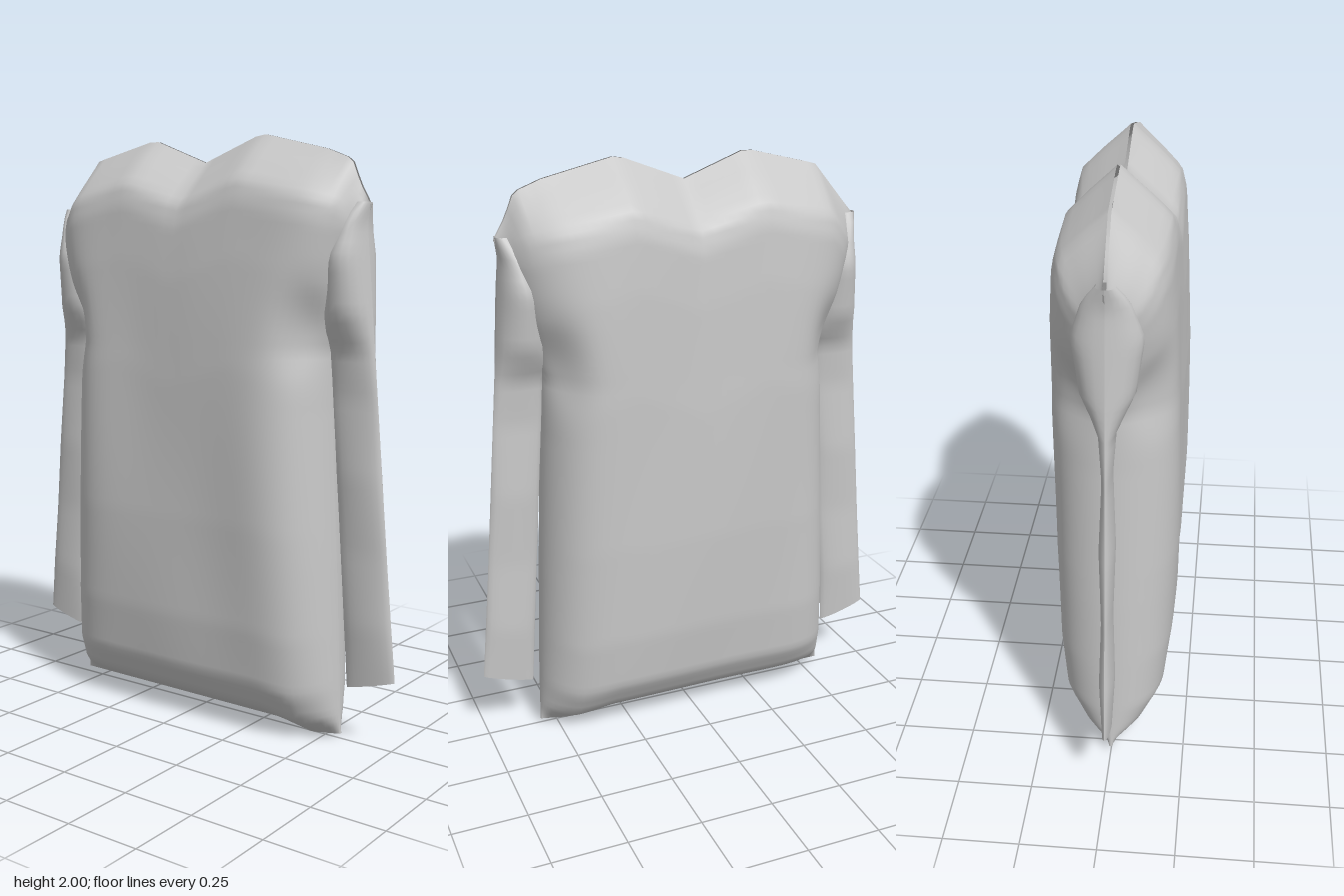
import * as THREE from 'three';

// piecewise-linear lookup in [position, value] pairs
function lookup(table, t) {
  if (t <= table[0][0]) return table[0][1];
  for (let i = 1; i < table.length; i++) {
    const [a, va] = table[i - 1], [b, vb] = table[i];
    if (t <= b) return va + (vb - va) * (t - a) / (b - a);
  }
  return table[table.length - 1][1];
}

// cloth sheet from point(u, v), u in -1..1, v in 0..1; side +1 front, -1 back
function sheet(point, side, cols, rows) {
  const pos = [], index = [];
  for (let j = 0; j <= rows; j++) {
    for (let i = 0; i <= cols; i++) {
      const u = Math.sin((i / cols - 0.5) * Math.PI); // finer towards the seams
      pos.push(...point(u, j / rows, side));
    }
  }
  for (let j = 0; j < rows; j++) {
    for (let i = 0; i < cols; i++) {
      const a = j * (cols + 1) + i, b = a + 1, c = a + cols + 1, d = c + 1;
      if (side > 0) index.push(a, b, d, a, d, c);
      else index.push(a, d, b, a, c, d);
    }
  }
  const g = new THREE.BufferGeometry();
  g.setAttribute('position', new THREE.Float32BufferAttribute(pos, 3));
  g.setIndex(index);
  g.computeVertexNormals();
  return g;
}

// body outline: half width by height, top edge and hem by x
const bodyWidth = [[0, 0.56], [0.6, 0.535], [1.1, 0.51], [1.3, 0.505], [1.4, 0.535], [1.5, 0.565], [1.6, 0.585], [1.75, 0.61], [2, 0.64]];
const topEdge = [[-0.64, 1.755], [-0.6, 1.8], [-0.48, 1.94], [-0.22, 2], [0, 1.915], [0.23, 2], [0.48, 1.94], [0.57, 1.905], [0.6, 1.83], [0.64, 1.76]];
const hem = [[-0.56, 0.025], [0.32, 0.022], [0.45, 0], [0.56, 0.018]];
// puffiness by distance from the hem and from the top edge
const fromHem = [[0, 0.004], [0.06, 0.12], [0.16, 0.185], [0.35, 0.208], [0.7, 0.22]];
const fromTop = [[0, 0.004], [0.08, 0.1], [0.15, 0.175], [0.22, 0.195], [0.4, 0.208], [0.75, 0.22]];

function bodyPoint(u, v, side) {
  const h = 2 * v;
  const x = u * lookup(bodyWidth, h);
  const top = lookup(topEdge, x), low = lookup(hem, x);
  let y = h;
  if (h > 1.5) y = 1.5 + (top - 1.5) * (h - 1.5) / 0.5;
  else if (h < 0.5) y = low + (0.5 - low) * h / 0.5;
  const depth = Math.min(lookup(fromHem, y - low), lookup(fromTop, top - y));
  const round = Math.pow(Math.max(0, 1 - Math.pow(Math.abs(u), 5)), 0.55);
  // soft hollow down the middle and gentle folds
  const hollow = 1 - 0.1 * Math.exp(-x * x / 0.05) + 0.03 * Math.cos(u * 7);
  const fold = 1 + 0.02 * Math.sin(9 * x + 4 * y + side);
  // pinch above the armpit
  const dx = (Math.abs(x) - 0.5) / 0.07, dy = (y - 1.36) / 0.12;
  const pinch = 1 - 0.35 * Math.exp(-dx * dx - dy * dy);
  const z = Math.abs(u) > 0.999 ? 0 : Math.max(0.005, depth * round * hollow * fold * pinch);
  return [x, y, side * z];
}

// sleeve outline and thickness by height
const sleeveInner = [[0.2, 0.58], [1.3, 0.5], [1.36, 0.47], [1.6, 0.5], [1.77, 0.58]];
const sleeveOuter = [[0.2, 0.757], [1.7, 0.627], [1.77, 0.638]];
const sleeveDepth = [[0.2, 0.014], [0.4, 0.025], [0.65, 0.018], [0.9, 0.026], [1.15, 0.016], [1.3, 0.028], [1.42, 0.085], [1.6, 0.11], [1.72, 0.07], [1.77, 0.03]];

function sleevePoint(mirror) {
  return (u, v, side) => {
    const h = 0.2 + 1.57 * v;
    const a = lookup(sleeveInner, h), b = lookup(sleeveOuter, h);
    const k = (u * mirror + 1) / 2; // 0 at the inner seam, 1 at the outer
    const x = a + (b - a) * k;
    // the cuff slants up towards the outer seam
    const y = h + (0.05 * k - 0.015) * Math.max(0, 1 - v * 4);
    const round = Math.pow(Math.max(0, 1 - u * u), 0.5);
    return [mirror * x, y, side * lookup(sleeveDepth, h) * round];
  };
}

export function createModel() {
  const cloth = new THREE.MeshStandardMaterial({ color: 0xc8c8c8, side: THREE.DoubleSide });
  cloth.name = 'light grey cloth';
  const shirt = new THREE.Group();
  shirt.name = 'longSleeveShirt';

  const add = (name, point, side, cols, rows) => {
    const mesh = new THREE.Mesh(sheet(point, side, cols, rows), cloth);
    mesh.name = name;
    shirt.add(mesh);
  };

  // front and back panels of the body and of both sleeves
  for (const [side, label] of [[1, 'Front'], [-1, 'Back']]) {
    add('body' + label, bodyPoint, side, 48, 80);
    add('leftSleeve' + label, sleevePoint(1), side, 10, 50);
    add('rightSleeve' + label, sleevePoint(-1), side, 10, 50);
  }
  return shirt;
}
